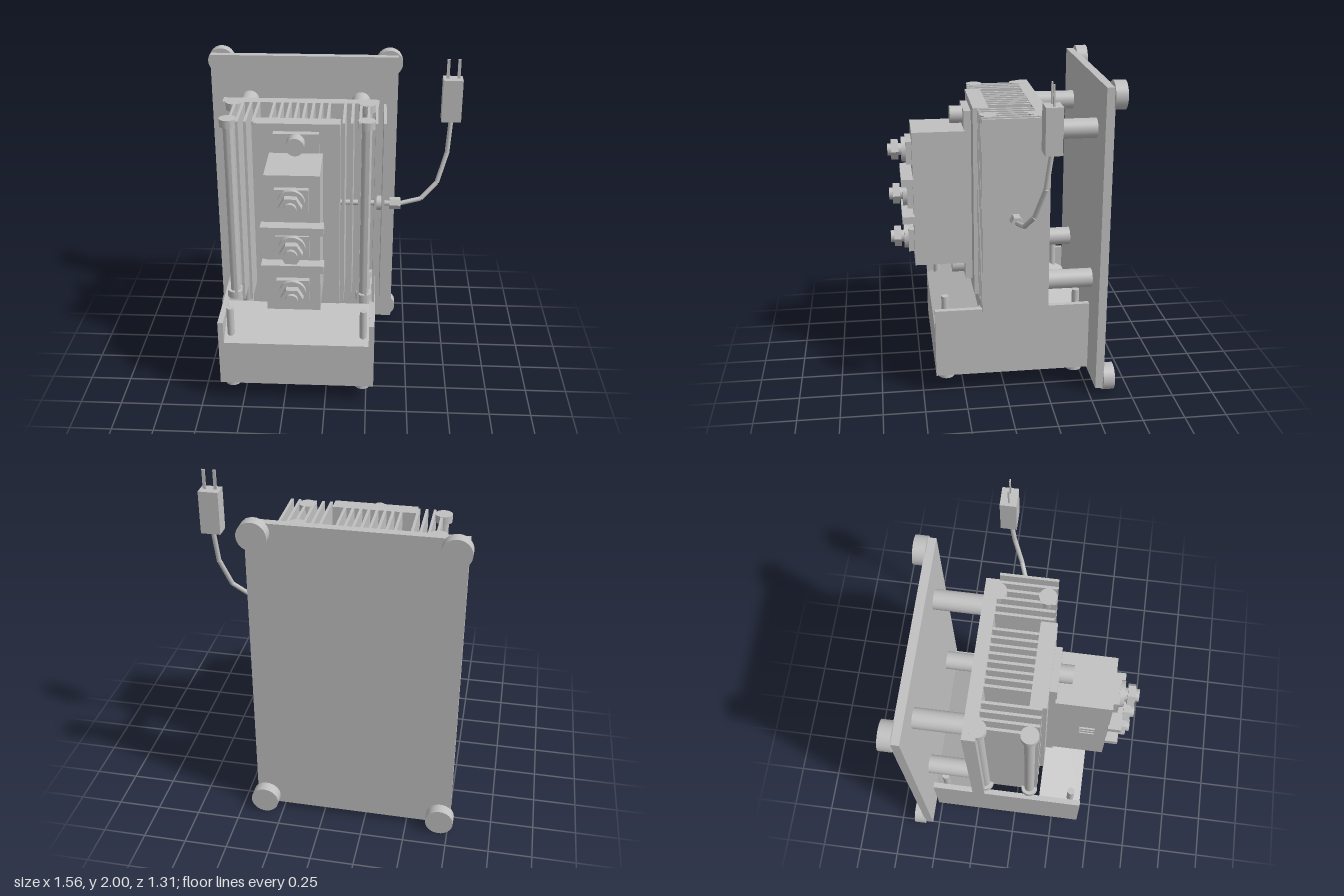
import * as THREE from 'three';

export function createModel() {
  const model = new THREE.Group();
  const grey = new THREE.MeshStandardMaterial({ color: 0xc0c0c0 });
  grey.name = 'plainGrey';

  const add = (name, geometry) => {
    const mesh = new THREE.Mesh(geometry, grey);
    mesh.name = name;
    model.add(mesh);
    return mesh;
  };
  // Box given by its limits on each axis
  const box = (name, x0, x1, y0, y1, z0, z1) => {
    const m = add(name, new THREE.BoxGeometry(x1 - x0, y1 - y0, z1 - z0));
    m.position.set((x0 + x1) / 2, (y0 + y1) / 2, (z0 + z1) / 2);
    return m;
  };
  // Cylinder or prism between two points
  const rod = (name, a, b, r, sides = 32) => {
    const start = new THREE.Vector3(...a), end = new THREE.Vector3(...b);
    const dir = end.clone().sub(start);
    let g = new THREE.CylinderGeometry(r, r, dir.length(), sides);
    if (sides <= 8) { g = g.toNonIndexed(); g.computeVertexNormals(); }
    const m = add(name, g);
    m.position.copy(start).add(end).multiplyScalar(0.5);
    m.quaternion.setFromUnitVectors(new THREE.Vector3(0, 1, 0), dir.normalize());
    return m;
  };

  // Mounting plate, rubber bumpers and standoffs
  box('mountingPlate', -0.76, 0.41, 0.03, 1.895, -0.59, -0.54);
  for (const x of [-0.70, 0.355]) for (const y of [0.082, 1.842])
    rod('bumper', [x, y, -0.655], [x, y, -0.585], 0.082);
  for (const x of [-0.52, 0.18]) for (const y of [0.67, 1.61])
    rod('standoff', [x, y, -0.545], [x, y, -0.255], 0.058);

  // Fan duct: full side walls, low end walls and sloping hoods
  box('ductSide', -0.64, -0.607, 0.12, 0.55, -0.51, 0.42);
  box('ductSide', 0.262, 0.295, 0.12, 0.55, -0.51, 0.42);
  box('ductFront', -0.607, 0.262, 0.12, 0.41, 0.39, 0.42);
  box('ductBack', -0.607, 0.262, 0.12, 0.41, -0.51, -0.48);
  const hood = (name, zOuter, zInner) => {
    const s = new THREE.Shape([[zOuter, 0.41], [zInner, 0.55], [zInner, 0.53], [zOuter, 0.39]]
      .map(([z, y]) => new THREE.Vector2(-z, y)));
    const m = add(name, new THREE.ExtrudeGeometry(s, { depth: 0.869, bevelEnabled: false }));
    m.rotation.y = Math.PI / 2;
    m.position.x = -0.607;
  };
  hood('frontHood', 0.42, 0.16);
  hood('backHood', -0.51, -0.26);

  // Feet, inner posts and pins of the duct
  for (const x of [-0.57, 0.227]) for (const z of [0.355, -0.437]) {
    rod('foot', [x, 0.087, z], [x, 0.13, z], 0.048);
    rod('post', [x, 0.12, z], [x, 0.41, z], 0.036);
    rod('pin', [x, 0.40, z], [x, 0.62, z], 0.022);
  }

  // Fan motor hub with small vertical vanes
  rod('fanHub', [-0.17, 0.135, -0.045], [-0.17, 0.25, -0.045], 0.203, 48);
  rod('fanMotor', [-0.17, 0.25, -0.045], [-0.17, 0.50, -0.045], 0.18, 48);
  for (const a of [60, 90, 120, 240, 270, 300].map(THREE.MathUtils.degToRad)) {
    const s = new THREE.Shape([new THREE.Vector2(0.18, 0.15), new THREE.Vector2(0.33, 0.32), new THREE.Vector2(0.17, 0.4)]);
    const m = add('fanVane', new THREE.ExtrudeGeometry(s, { depth: 0.01, bevelEnabled: false }));
    m.rotation.y = a;
    m.position.set(-0.17, 0, -0.045);
  }

  // Heat sink: back base, front pad and evenly spaced fins
  box('heatSinkBase', -0.64, 0.295, 0.55, 1.72, -0.26, -0.185);
  box('heatSinkPad', -0.415, 0.075, 0.55, 1.72, 0.07, 0.163);
  for (let i = 0; i < 20; i++) {
    const x = -0.561 + i * 0.0468;
    const inner = x > -0.36 && x < 0.01;
    if (!inner && x > -0.40 && x < 0.07) continue;
    box('fin', x - 0.008, x + 0.008, 0.55, 1.72, -0.188, inner ? 0.075 : 0.14);
  }

  // Tie rods with end caps at the heat sink corners
  for (const x of [-0.57, 0.225]) for (const z of [0.092, -0.185]) {
    rod('tieRod', [x, 0.59, z], [x, 1.69, z], 0.03);
    for (const y of [0.55, 1.675]) rod('tieRodCap', [x, y, z], [x, y + 0.046, z], 0.05);
  }

  // Power module with base plate, screws and ribs
  const cx = -0.173;
  box('moduleBase', -0.303, -0.043, 0.605, 1.675, 0.16, 0.205);
  box('moduleBody', -0.325, -0.02, 0.72, 1.56, 0.20, 0.515);
  for (const y of [0.655, 1.625])
    rod('moduleScrew', [cx, y, 0.2], [cx, y, 0.28], 0.052);
  for (const y of [1.0, 1.235])
    box('moduleRib', -0.345, 0.003, y, y + 0.045, 0.51, 0.585);
  for (const y of [1.095, 1.14, 1.18])
    box('sidePin', -0.335, -0.32, y - 0.012, y + 0.012, 0.35, 0.44);

  // Bolted terminals
  for (const y of [0.86, 1.14, 1.42]) {
    box('terminalPad', cx - 0.093, cx + 0.093, y - 0.07, y + 0.07, 0.51, 0.55);
    rod('washer', [cx, y, 0.545], [cx, y, 0.575], 0.076);
    rod('stud', [cx, y, 0.57], [cx, y, 0.657], 0.036);
    const nut = rod('nut', [cx, y, 0.592], [cx, y, 0.635], 0.064, 6);
    nut.rotateY(Math.PI / 6);
  }

  // Temperature probe with fittings
  const py = 1.14, pz = -0.048;
  rod('probe', [-0.14, py, pz], [0.38, py, pz], 0.016, 16);
  rod('probeCollar', [0.287, py, pz], [0.322, py, pz], 0.044);
  rod('probeNut', [0.367, py, pz], [0.435, py, pz], 0.036, 6);

  // Cable in straight segments
  const path = [[0.43, py, pz], [0.555, 1.165, -0.068], [0.65, 1.255, -0.11],
    [0.705, 1.43, -0.16], [0.72, 1.64, -0.185]];
  for (let i = 1; i < path.length; i++) rod('cable', path[i - 1], path[i], 0.014, 12);

  // Plug with two flat prongs
  box('plug', 0.66, 0.775, 1.63, 1.885, -0.233, -0.14);
  for (const x of [0.687, 0.75])
    box('prong', x - 0.009, x + 0.009, 1.88, 2.0, -0.189, -0.181);

  return model;
}
